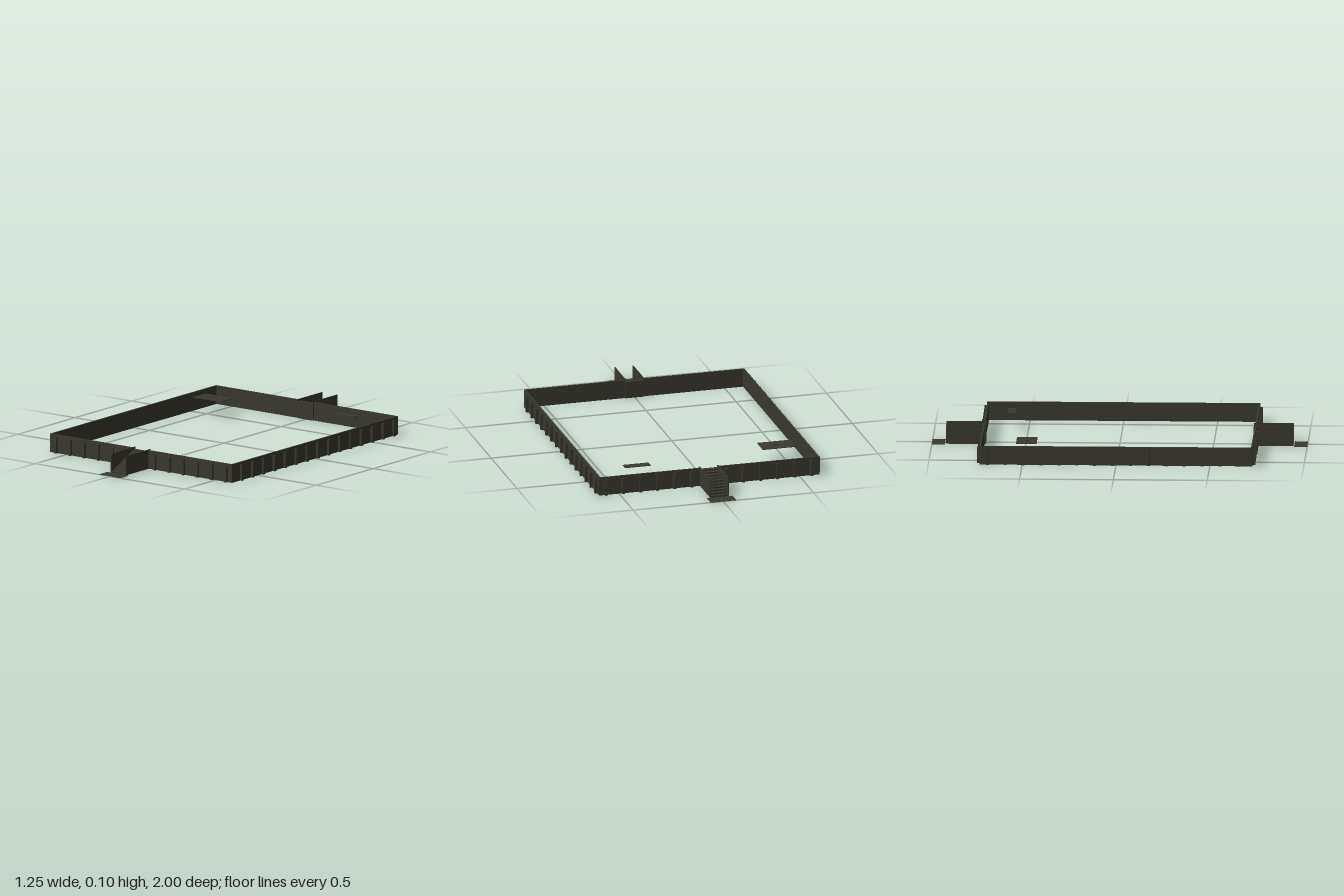
import * as THREE from 'three';

const HALF_X = 0.61, HALF_Z = 0.728, WALL_H = 0.1, WALL_T = 0.009;
const POST_H = 0.086, POST_W = 0.015, POST_D = 0.013;
const GAP = 0.05; // half width of the stair opening

export function createModel() {
  const model = new THREE.Group();
  const metal = new THREE.MeshStandardMaterial({ color: 0x3a392f, side: THREE.DoubleSide });
  metal.name = 'dark olive metal';

  // Box placed by its centre in x and z and by its base in y
  function box(parent, name, w, h, d, x, y, z) {
    const mesh = new THREE.Mesh(new THREE.BoxGeometry(w, h, d), metal);
    mesh.name = name;
    mesh.position.set(x, y + h / 2, z);
    parent.add(mesh);
    return mesh;
  }

  // Perimeter walls, with an opening in the front and back ones
  const walls = new THREE.Group();
  walls.name = 'walls';
  model.add(walls);
  for (const s of [-1, 1]) {
    box(walls, 'sideWall', WALL_T, WALL_H, HALF_Z * 2, s * (HALF_X - WALL_T / 2), 0, 0);
    for (const t of [-1, 1]) {
      const w = HALF_X - GAP;
      box(walls, 'endWall', w, WALL_H, WALL_T, t * (GAP + w / 2), 0, s * (HALF_Z - WALL_T / 2));
    }
  }

  // Posts along the outside
  const posts = new THREE.Group();
  posts.name = 'posts';
  model.add(posts);
  for (const s of [-1, 1]) {
    for (let i = 0; i < 15; i++) {
      box(posts, 'sidePost', POST_D, POST_H, POST_W, s * (HALF_X + POST_D / 2), 0, -0.685 + i * 0.0953);
    }
    for (let i = 0; i < 13; i++) {
      if (i === 6) continue; // the stairs stand here
      box(posts, 'endPost', POST_W, POST_H, POST_D, -0.566 + i * 0.0949, 0, s * (HALF_Z + POST_D / 2));
    }
  }

  // Folded strip of treads and risers, going down towards +z
  function stepStrip(width, count, top, zIn, zOut) {
    const rise = top / count, run = (zOut - zIn) / count;
    const pos = [], index = [];
    const quad = (y0, z0, y1, z1) => {
      const n = pos.length / 3;
      pos.push(-width / 2, y0, z0, width / 2, y0, z0, width / 2, y1, z1, -width / 2, y1, z1);
      index.push(n, n + 2, n + 1, n, n + 3, n + 2);
    };
    for (let i = 0; i < count; i++) {
      const y = top - i * rise, z = zIn + i * run;
      quad(y, z, y, z + run);
      quad(y, z + run, y - rise, z + run);
    }
    const geo = new THREE.BufferGeometry();
    geo.setAttribute('position', new THREE.Float32BufferAttribute(pos, 3));
    geo.setIndex(index);
    geo.computeVertexNormals();
    // Wind the faces outwards
    for (let i = 0; i < index.length; i += 3) {
      [index[i + 1], index[i + 2]] = [index[i + 2], index[i + 1]];
    }
    geo.setIndex(geo.getAttribute('normal').getY(0) < 0 ? index : geo.getIndex());
    geo.computeVertexNormals();
    return geo;
  }

  // Stairs with side panels, a back panel and a ground plate
  function stairs(name) {
    const group = new THREE.Group();
    group.name = name;
    const steps = new THREE.Mesh(stepStrip(0.096, 10, 0.092, 0.716, 0.925), metal);
    steps.name = 'steps';
    group.add(steps);
    for (const s of [-1, 1]) {
      box(group, 'sidePanel', 0.004, 0.104, 0.212, s * GAP, 0, 0.819);
    }
    box(group, 'backPanel', 0.1, 0.092, 0.004, 0, 0, 0.715);
    box(group, 'groundPlate', 0.142, 0.002, 0.07, 0, 0, 0.965);
    model.add(group);
    return group;
  }
  stairs('frontStairs');
  stairs('backStairs').rotation.y = Math.PI;

  // Raised flat plates inside the enclosure
  box(model, 'largePlate', 0.182, 0.003, 0.11, -0.442, 0.097, -0.481);
  box(model, 'smallPlate', 0.142, 0.003, 0.046, 0.362, 0.097, -0.588);

  // Small rounded handle on the large plate
  const handle = new THREE.Mesh(new THREE.CylinderGeometry(0.01, 0.01, 0.005, 16), metal);
  handle.name = 'plateHandle';
  handle.scale.x = 1.5;
  handle.position.set(-0.436, 0.1015, -0.481);
  model.add(handle);

  return model;
}
